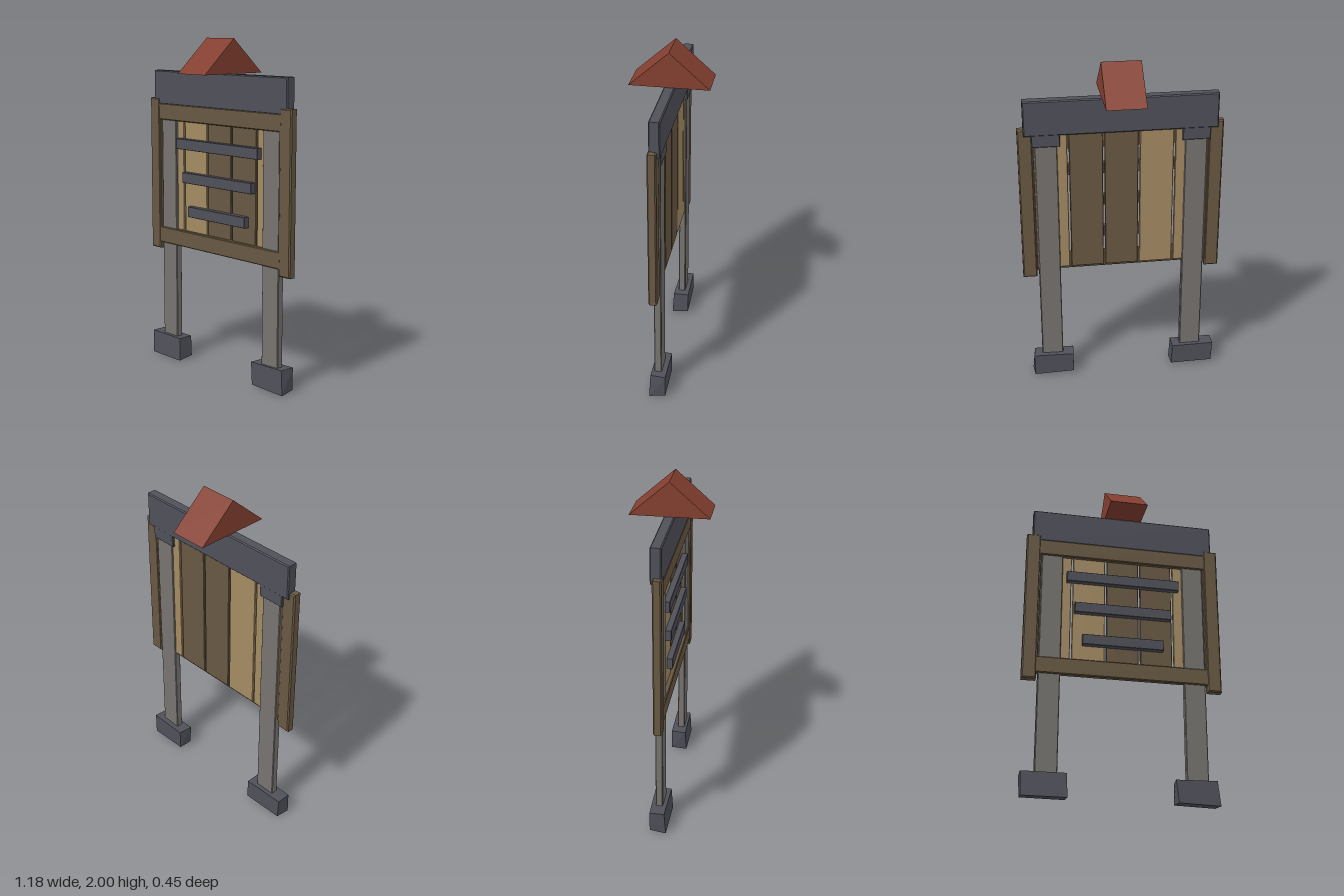
import * as THREE from 'three';

const mat = (name, color) => {
  const m = new THREE.MeshStandardMaterial({ color });
  m.name = name;
  return m;
};

export function createModel() {
  const iron = mat('darkIron', 0x4f5059);
  const brown = mat('brownWood', 0x685842);
  const tan = mat('tanWood', 0xa48b63);
  const grey = mat('greyPost', 0x76736f);
  const red = mat('redRoof', 0x843f30);
  const group = new THREE.Group();

  const add = (name, geometry, material) => {
    const mesh = new THREE.Mesh(geometry, material);
    mesh.name = name;
    group.add(mesh);
    return mesh;
  };

  // Block between two limits on each axis, with small chamfered edges
  const block = (name, material, [x0, x1], [y0, y1], [z0, z1], b = 0.005) => {
    const s = new THREE.Shape();
    s.moveTo(x0 + b, y0 + b);
    s.lineTo(x1 - b, y0 + b);
    s.lineTo(x1 - b, y1 - b);
    s.lineTo(x0 + b, y1 - b);
    s.closePath();
    const g = new THREE.ExtrudeGeometry(s, {
      depth: z1 - z0 - 2 * b, bevelEnabled: true, bevelSegments: 1, bevelSize: b, bevelThickness: b,
    });
    g.translate(0, 0, z0 + b);
    return add(name, g, material);
  };

  // Planks with narrow gaps between them
  const edges = [-0.505, -0.307, -0.102, 0.102, 0.305, 0.505];
  const tones = [tan, tan, brown, brown, tan];
  tones.forEach((tone, i) => block('plank', tone,
    [edges[i] + 0.005, edges[i + 1] - 0.005], [0.745, 1.595], [-0.013, 0.006], 0.003));

  // Frame rails
  block('topRail', brown, [-0.515, 0.515], [1.5, 1.6], [-0.004, 0.031]);
  block('bottomRail', brown, [-0.515, 0.515], [0.73, 0.83], [-0.004, 0.031]);

  for (const side of [-1, 1]) {
    const span = (a, b) => (side > 0 ? [a, b] : [-b, -a]);
    // Frame side, leg and the bracket that holds the leg to the beam
    block('frameSide', brown, span(0.506, 0.59), [0.69, 1.63], [-0.016, 0.034], 0.007);
    block('frameSideInner', brown, span(0.5, 0.515), [0.73, 1.6], [-0.012, 0.031], 0.003);
    block('leg', grey, span(0.367, 0.495), [0.08, 1.62], [-0.021, 0.021], 0.004);
    block('legBracket', iron, span(0.35, 0.512), [1.525, 1.62], [-0.029, -0.01], 0.004);
  }

  // Beam across the top
  block('topBeam', iron, [-0.555, 0.555], [1.594, 1.8], [-0.032, 0.03], 0.006);

  // Three bars, shorter towards the bottom
  [[0.342, 1.365], [0.292, 1.163], [0.242, 0.958]].forEach(([half, y]) =>
    block('bar', iron, [-half, half], [y - 0.032, y + 0.032], [0.003, 0.04], 0.002));

  // Rough-cut feet: boxes with slightly uneven corners
  const foot = (name, x0, x1, rule) => {
    const g = new THREE.BoxGeometry(x1 - x0, 0.14, 0.094).toNonIndexed();
    g.translate((x0 + x1) / 2, 0.072, 0);
    const p = g.attributes.position;
    for (let i = 0; i < p.count; i++) {
      const v = new THREE.Vector3().fromBufferAttribute(p, i);
      const s = [v.x > (x0 + x1) / 2 ? 1 : -1, v.y > 0.07 ? 1 : -1, v.z > 0 ? 1 : -1];
      rule(v, ...s);
      p.setXYZ(i, v.x, v.y, v.z);
    }
    g.computeVertexNormals();
    add(name, g, iron);
  };
  foot('rightFoot', -0.571, -0.315, (v, sx, sy, sz) => {
    v.x -= 0.003 * sy;
    v.z += sz > 0 ? -0.004 * sy + 0.002 * sx : -0.002 * sx;
    v.y += sy < 0 && sz < 0 ? 0.012 : -0.002;
    if (sy < 0 && sz > 0) v.y = 0;
  });
  foot('leftFoot', 0.307, 0.547, (v, sx, sy, sz) => {
    v.x += -0.003 * sy - 0.004 * sz * sy;
    v.z += sz < 0 ? -0.005 : -0.007 - 0.003 * sy;
    v.y += 0.003 * sx * sy + (sy < 0 && sz < 0 ? 0.014 : 0.003);
  });

  // Little gabled roof on top of the beam
  const gable = new THREE.Shape();
  gable.moveTo(-0.226, 1.8);
  gable.lineTo(0.226, 1.8);
  gable.lineTo(0, 2);
  gable.closePath();
  const roof = new THREE.ExtrudeGeometry(gable, { depth: 0.226, bevelEnabled: false });
  roof.translate(0, 0, -0.113);
  roof.rotateY(Math.PI / 2);
  add('roof', roof, red);

  return group;
}
